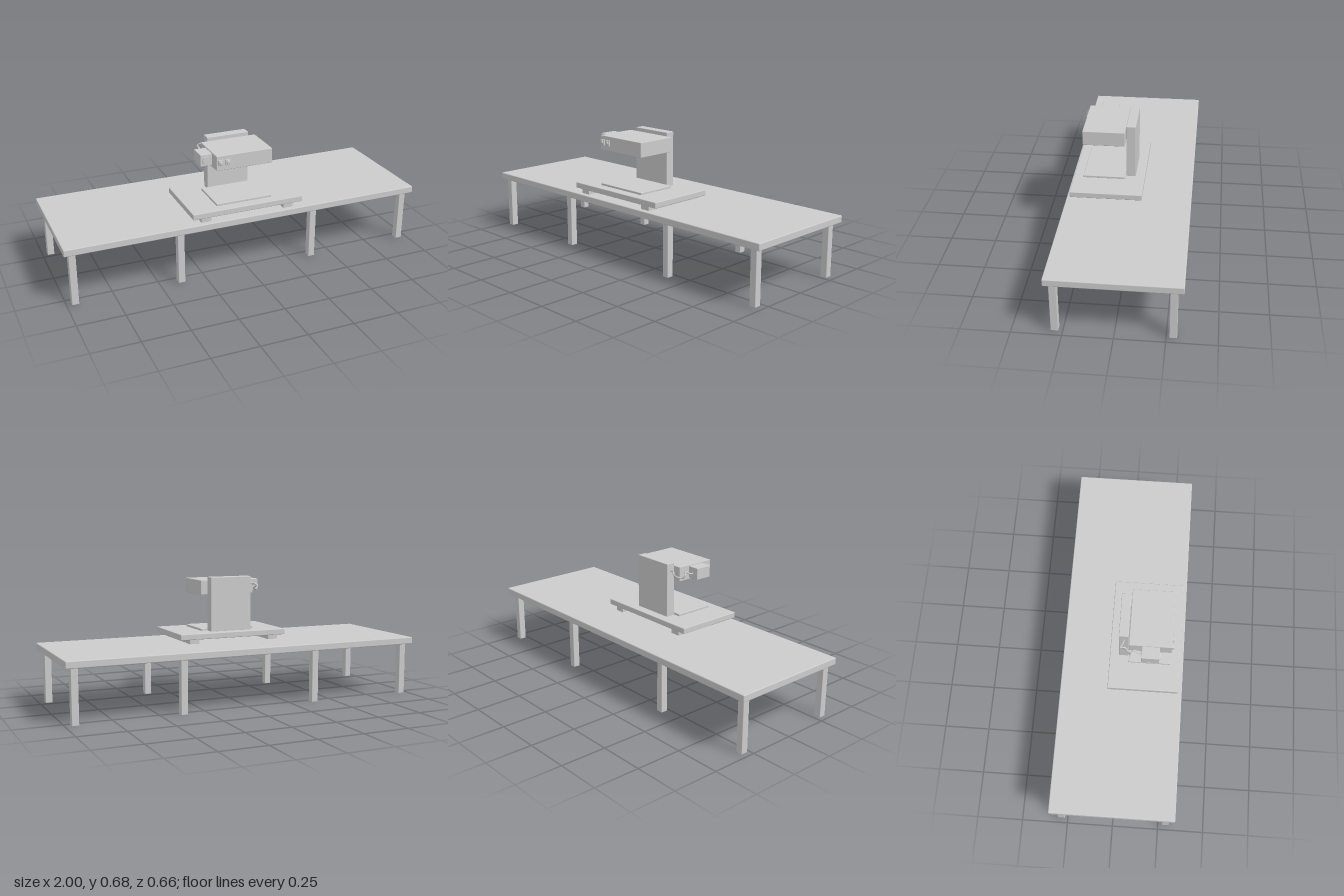
import * as THREE from 'three';
import { RoundedBoxGeometry } from 'three/addons/geometries/RoundedBoxGeometry.js';

const material = new THREE.MeshStandardMaterial({ color: 0xcccccc });

export function createModel() {
  const model = new THREE.Group();
  model.name = 'pressOnTable';

  const add = (name, geometry, x = 0, y = 0, z = 0) => {
    const mesh = new THREE.Mesh(geometry, material);
    mesh.name = name;
    mesh.position.set(x, y, z);
    model.add(mesh);
    return mesh;
  };

  // Softly bevelled box given by its extents on each axis
  const box = (name, [x0, x1], [y0, y1], [z0, z1], bevel = 0.003) =>
    add(name, new RoundedBoxGeometry(x1 - x0, y1 - y0, z1 - z0, 2, bevel),
      (x0 + x1) / 2, (y0 + y1) / 2, (z0 + z1) / 2);

  // Round part whose axis runs along z, tapering towards the front
  const knob = (name, x, y, z0, z1, rBack, rFront) => {
    const geometry = new THREE.CylinderGeometry(rFront, rBack, z1 - z0, 24).rotateX(Math.PI / 2);
    return add(name, geometry, x, y, (z0 + z1) / 2);
  };

  // Table
  box('tableTop', [-1, 1], [0.289, 0.327], [-0.332, 0.332], 0.005);
  for (const x of [-0.955, -0.385, 0.38, 0.95])
    for (const z of [-0.284, 0.29])
      box('tableLeg', [x - 0.0185, x + 0.0185], [0, 0.292], [z - 0.019, z + 0.019]);

  // Flat direction arrows on the table top
  for (const x of [-0.89, 0.69]) {
    const triangle = new THREE.Shape([
      new THREE.Vector2(0, -0.045), new THREE.Vector2(0.15, 0.03), new THREE.Vector2(0, 0.105),
    ]);
    add('directionArrow', new THREE.ShapeGeometry(triangle).rotateX(-Math.PI / 2), x, 0.3278, 0);
  }

  // Base plate on two rails, with the lower platen
  for (const x of [-0.242, 0.228])
    box('rail', [x - 0.028, x + 0.028], [0.325, 0.352], [-0.068, 0.305], 0.002);
  box('basePlate', [-0.317, 0.31], [0.35, 0.382], [-0.073, 0.31], 0.004);
  box('platen', [-0.165, 0.15], [0.38, 0.394], [0.032, 0.257]);

  // Column and overhanging head
  box('column', [-0.127, 0.113], [0.38, 0.68], [-0.023, 0.028]);
  box('head', [-0.165, 0.15], [0.58, 0.661], [0.032, 0.257]);

  // Control buttons on the front of the head
  for (const x of [-0.143, -0.103]) {
    box('buttonHousing', [x - 0.014, x + 0.014], [0.608, 0.64], [0.255, 0.265], 0.002);
    knob('button', x, 0.624, 0.264, 0.271, 0.012, 0.007);
  }

  // Side motor with its round front cap
  box('motor', [-0.23, -0.163], [0.59, 0.655], [0.1, 0.194]);
  knob('motorCap', -0.197, 0.622, 0.193, 0.2, 0.023, 0.021);

  // Loose cable from the column to the back of the motor
  const path = new THREE.CatmullRomCurve3([
    [-0.125, 0.635, 0.005], [-0.15, 0.64, 0.0], [-0.167, 0.628, -0.012], [-0.163, 0.61, 0.015],
    [-0.185, 0.605, 0.032], [-0.2, 0.622, 0.042], [-0.182, 0.632, 0.06], [-0.19, 0.62, 0.085],
    [-0.195, 0.62, 0.103],
  ].map((p) => new THREE.Vector3(...p)));
  add('cable', new THREE.TubeGeometry(path, 64, 0.0045, 8));

  return model;
}
